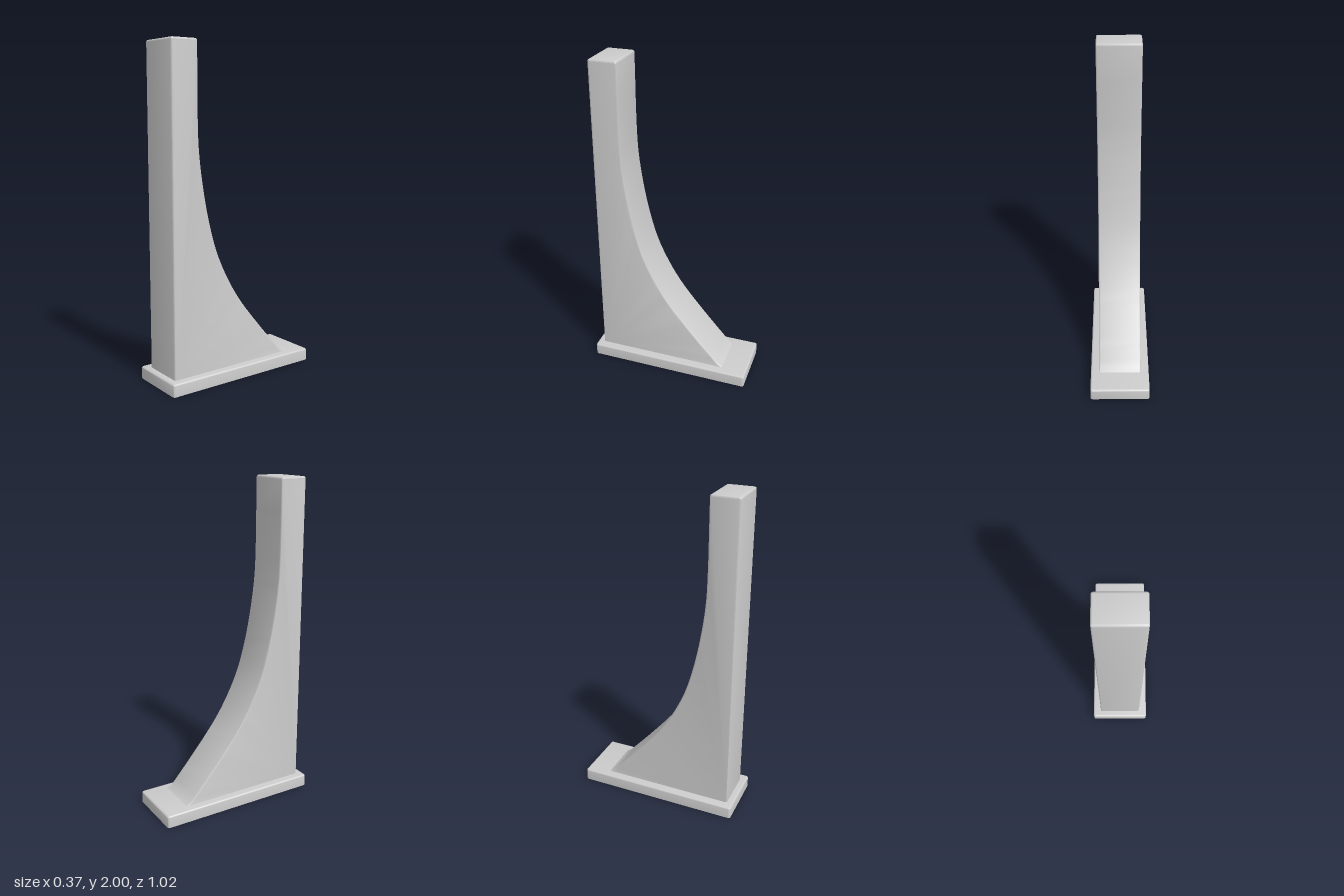
import * as THREE from 'three';
import { toCreasedNormals } from 'three/addons/utils/BufferGeometryUtils.js';

const BEVEL = 0.01;
const BASE_TOP = 0.075;

const bevelOptions = (depth) => ({
  depth,
  curveSegments: 4,
  bevelEnabled: true,
  bevelThickness: BEVEL,
  bevelSize: BEVEL,
  bevelOffset: -BEVEL,
  bevelSegments: 3,
});

// Keep only the triangles lying above a given height
function keepAbove(geometry, height) {
  const p = geometry.attributes.position;
  const kept = [];
  for (let i = 0; i < p.count; i += 3) {
    if ((p.getY(i) + p.getY(i + 1) + p.getY(i + 2)) / 3 < height) continue;
    for (let j = i; j < i + 3; j++) kept.push(p.getX(j), p.getY(j), p.getZ(j));
  }
  const result = new THREE.BufferGeometry();
  result.setAttribute('position', new THREE.Float32BufferAttribute(kept, 3));
  return result;
}

// Plinth: rounded slab, hollow and open underneath
function baseGeometry() {
  const w = 0.185, d = 0.51, r = 0.015;
  const s = new THREE.Shape();
  s.moveTo(-w + r, -d);
  s.lineTo(w - r, -d);
  s.quadraticCurveTo(w, -d, w, -d + r);
  s.lineTo(w, d - r);
  s.quadraticCurveTo(w, d, w - r, d);
  s.lineTo(-w + r, d);
  s.quadraticCurveTo(-w, d, -w, d - r);
  s.lineTo(-w, -d + r);
  s.quadraticCurveTo(-w, -d, -w + r, -d);
  const g = new THREE.ExtrudeGeometry(s, bevelOptions(BASE_TOP - BEVEL));
  g.rotateX(-Math.PI / 2);
  return toCreasedNormals(keepAbove(g, -1e-5), 0.7);
}

// Upright: side profile (z, y) with a sweeping back, extruded across x
function uprightGeometry() {
  const half = 0.135, front = 0.47, back = 0.298, r = 0.014, foot = 0.055;
  const sweep = new THREE.CatmullRomCurve3([
    [-0.36, foot], [-0.337, 0.08], [-0.151, 0.29], [0, 0.477], [0.087, 0.615], [0.167, 0.784],
    [0.22, 0.96], [0.262, 1.165], [0.291, 1.39], [back, 1.62], [back, 1.8],
  ].map(([z, y]) => new THREE.Vector3(z, y, 0)));
  const s = new THREE.Shape();
  s.moveTo(-0.36, foot);
  s.lineTo(front, foot);
  s.lineTo(front, 2 - r);
  s.quadraticCurveTo(front, 2, front - r, 2);
  s.lineTo(back + r, 2);
  s.quadraticCurveTo(back, 2, back, 2 - r);
  sweep.getSpacedPoints(40).reverse().slice(0, -1).forEach((p) => s.lineTo(p.x, p.y));
  s.closePath();
  const g = new THREE.ExtrudeGeometry(s, bevelOptions(2 * (half - BEVEL)));
  g.translate(0, 0, -(half - BEVEL));
  g.rotateY(-Math.PI / 2);
  // Flatten the foot just inside the plinth top
  const p = g.attributes.position;
  for (let i = 0; i < p.count; i++) p.setY(i, Math.max(p.getY(i), BASE_TOP - 0.003));
  return toCreasedNormals(keepAbove(g, BASE_TOP - 0.0029), 0.7);
}

export function createModel() {
  const group = new THREE.Group();
  group.name = 'pedestal';
  const material = new THREE.MeshStandardMaterial({ color: 0xcccccc, side: THREE.DoubleSide });
  const add = (name, geometry) => {
    const mesh = new THREE.Mesh(geometry, material);
    mesh.name = name;
    group.add(mesh);
  };
  add('base', baseGeometry());
  add('upright', uprightGeometry());
  return group;
}
